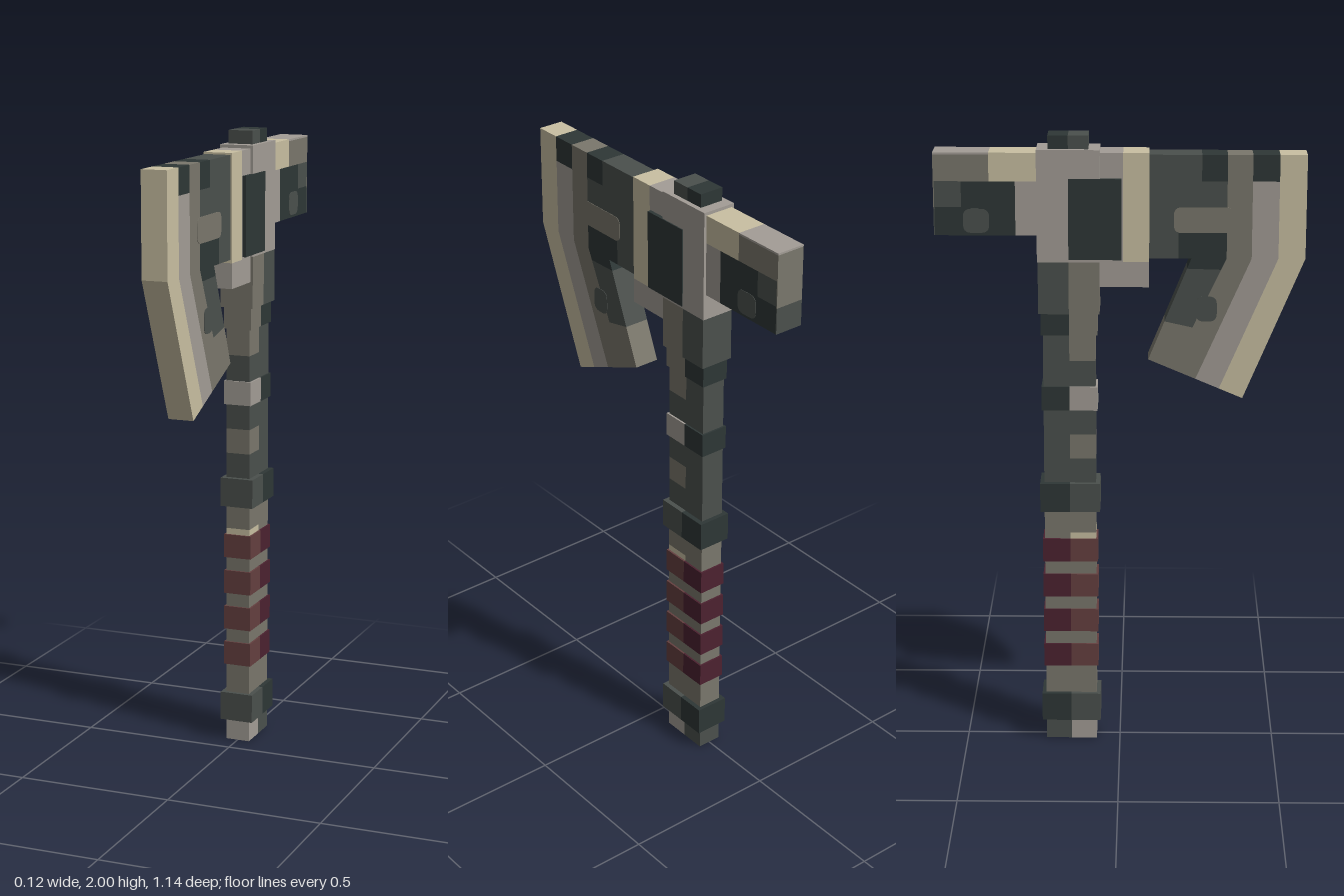
import * as THREE from 'three';

const mat = (name, color) => {
  const m = new THREE.MeshStandardMaterial({ color });
  m.name = name;
  return m;
};

export function createModel() {
  const tan = mat('tan', 0xc9c0a2);
  const pale = mat('pale grey', 0xa39d96);
  const brown = mat('brown grey', 0x7a776c);
  const grey = mat('dark grey', 0x4b504d);
  const dark = mat('blackish green', 0x2e3736);
  const red = mat('faded red', 0x654040);
  const wine = mat('wine', 0x4c2230);

  const axe = new THREE.Group();
  axe.name = 'axe';
  const group = (name) => {
    const g = new THREE.Group();
    g.name = name;
    axe.add(g);
    return g;
  };

  // Box spanning z0..z1 and y0..y1, centred across x
  const box = (g, name, hx, z0, z1, y0, y1, m) => {
    const mesh = new THREE.Mesh(new THREE.BoxGeometry(hx * 2, y1 - y0, z1 - z0), m);
    mesh.position.set(0, (y0 + y1) / 2, (z0 + z1) / 2);
    mesh.name = name;
    g.add(mesh);
  };
  // Side outline given as [z, y], extruded across x from x0 to x1
  const slab = (g, name, x0, x1, shape, m) => {
    const geo = new THREE.ExtrudeGeometry(shape, { depth: x1 - x0, bevelEnabled: false, curveSegments: 5 });
    geo.rotateY(-Math.PI / 2); // outline x becomes z, depth becomes -x
    geo.translate(x1, 0, 0);
    const mesh = new THREE.Mesh(geo, m);
    mesh.name = name;
    g.add(mesh);
  };
  const poly = (pts) => new THREE.Shape(pts.map(([z, y]) => new THREE.Vector2(z, y)));
  // Rounded camouflage patch on both sides
  const patch = (g, hx, z0, z1, y0, y1, m, r = 0.025) => {
    const s = new THREE.Shape();
    s.moveTo(z0 + r, y0);
    s.lineTo(z1 - r, y0); s.quadraticCurveTo(z1, y0, z1, y0 + r);
    s.lineTo(z1, y1 - r); s.quadraticCurveTo(z1, y1, z1 - r, y1);
    s.lineTo(z0 + r, y1); s.quadraticCurveTo(z0, y1, z0, y1 - r);
    s.lineTo(z0, y0 + r); s.quadraticCurveTo(z0, y0, z0 + r, y0);
    for (const side of [-1, 1]) {
      const x = side * hx;
      slab(g, 'camouflage patch', x - 0.0015, x + 0.0015, s, m);
    }
  };

  // Shaft pieces: front half and back half differ in colour
  const MID = -0.158;
  const split = (g, name, hx, hz, y0, y1, front, back) => {
    box(g, name + ' front', hx, MID, MID + hz, y0, y1, front);
    box(g, name + ' back', hx, MID - hz, MID, y0, y1, back);
  };

  const shaft = group('shaft');
  for (const [y0, y1, front, back] of [
    [0, 0.07, pale, grey],
    [0.16, 0.70, brown, brown],
    [0.70, 0.72, tan, brown],
    [0.72, 0.80, brown, brown],
    [0.89, 0.97, grey, grey],
    [0.97, 1.05, brown, grey],
    [1.05, 1.29, grey, grey],
    [1.29, 1.38, brown, grey],
  ]) split(shaft, 'shaft section', 0.04, 0.082, y0, y1, front, back);

  // Wide rings, narrow rings and grip wraps
  const rings = group('rings');
  for (const y of [0.07, 0.795]) split(rings, 'wide ring', 0.055, 0.095, y, y + 0.094, grey, dark);
  split(rings, 'narrow ring', 0.046, 0.088, 1.13, 1.207, pale, dark);
  split(rings, 'neck ring', 0.046, 0.088, 1.375, 1.45, brown, dark);
  const grip = group('grip');
  for (let i = 0; i < 4; i++) {
    const y = 0.26 + i * 0.121;
    split(grip, 'grip wrap', 0.046, 0.088, y, y + 0.077, red, wine);
  }

  // Head socket, collar, side plates and top cap
  const head = group('head');
  split(head, 'socket base', 0.055, 0.095, 1.445, 1.61, brown, grey);
  box(head, 'socket top', 0.0555, MID - 0.097, MID + 0.097, 1.61, 1.958, pale);
  box(head, 'collar front', 0.047, 0.01, 0.09, 1.61, 1.948, tan);
  box(head, 'collar back', 0.047, -0.07, 0.01, 1.61, 1.948, pale);
  box(head, 'collar foot', 0.047, -0.07, 0.09, 1.53, 1.61, pale);
  box(head, 'side plates', 0.059, -0.158, 0.005, 1.618, 1.87, dark);
  split(head, 'top cap', 0.04, 0.062, 1.95, 2.0, grey, dark);

  // Hammer block behind the socket
  const hammer = group('hammer');
  box(hammer, 'hammer top near', 0.047, -0.40, -0.25, 1.86, 1.948, tan);
  box(hammer, 'hammer top far', 0.047, -0.57, -0.40, 1.86, 1.942, brown);
  box(hammer, 'hammer top cover', 0.047, -0.57, -0.40, 1.942, 1.948, pale);
  box(hammer, 'hammer root', 0.047, -0.32, -0.25, 1.692, 1.86, pale);
  box(hammer, 'hammer body', 0.047, -0.485, -0.32, 1.692, 1.86, dark);
  box(hammer, 'hammer corner', 0.047, -0.567, -0.485, 1.78, 1.86, grey);
  box(hammer, 'hammer lower end', 0.047, -0.567, -0.485, 1.692, 1.78, dark);
  patch(hammer, 0.047, -0.48, -0.40, 1.70, 1.775, grey);
  box(hammer, 'hammer face top', 0.047, -0.57, -0.567, 1.86, 1.862, pale);
  box(hammer, 'hammer face middle', 0.047, -0.57, -0.567, 1.775, 1.86, brown);
  box(hammer, 'hammer face bottom', 0.047, -0.57, -0.567, 1.692, 1.775, grey);

  // Blade: upper columns
  const blade = group('blade');
  const B = 0.041;
  const yB = 1.62, yT = 1.942, yS = 1.86;
  const zs = [0.57, 0.487, 0.405, 0.328, 0.22];
  box(blade, 'cutting edge', B, zs[1], zs[0], yB, yT, tan);
  box(blade, 'bevel', B, zs[2], zs[1], yB, yS, pale);
  box(blade, 'bevel tip', B, zs[2], zs[1], yS, yT, dark);
  box(blade, 'inner column', B, zs[3], zs[2], yB, yT, brown);
  box(blade, 'cheek tip', B, 0.25, zs[3], yS, yT, dark);
  box(blade, 'cheek top', B, 0.09, 0.25, yS, yT, grey);
  box(blade, 'cheek', B, 0.09, zs[3], 1.70, yS, grey);
  box(blade, 'cheek underside', B, 0.18, zs[3], yB, 1.70, dark);
  box(blade, 'cheek root', B, 0.09, 0.18, yB, 1.70, grey);
  patch(blade, B, 0.165, 0.35, 1.70, 1.78, brown);

  // Blade: slanted beard, strips running from the upper columns to the lower tip
  const outer = [0.383, 1.172], inner = [0.088, 1.297];
  const foot = (t) => [outer[0] + (inner[0] - outer[0]) * t, outer[1] + (inner[1] - outer[1]) * t];
  const lerp = (a, b, t) => [a[0] + (b[0] - a[0]) * t, a[1] + (b[1] - a[1]) * t];
  const strip = (name, i, t0, t1, m) => {
    const a = [zs[i], yB], b = [zs[i + 1], yB], c = foot((i + 1) / 4), d = foot(i / 4);
    slab(blade, name, -B, B, poly([lerp(a, d, t0), lerp(a, d, t1), lerp(b, c, t1), lerp(b, c, t0)]), m);
  };
  strip('beard cutting edge', 0, 0, 1, tan);
  strip('beard bevel', 1, 0, 1, pale);
  strip('beard inner strip', 2, 0, 1, brown);
  strip('beard notch', 3, 0, 0.1, dark);
  strip('beard back upper', 3, 0.1, 0.62, grey);
  strip('beard back lower', 3, 0.62, 1, brown);
  patch(blade, B, 0.235, 0.30, 1.42, 1.50, grey);

  return axe;
}
